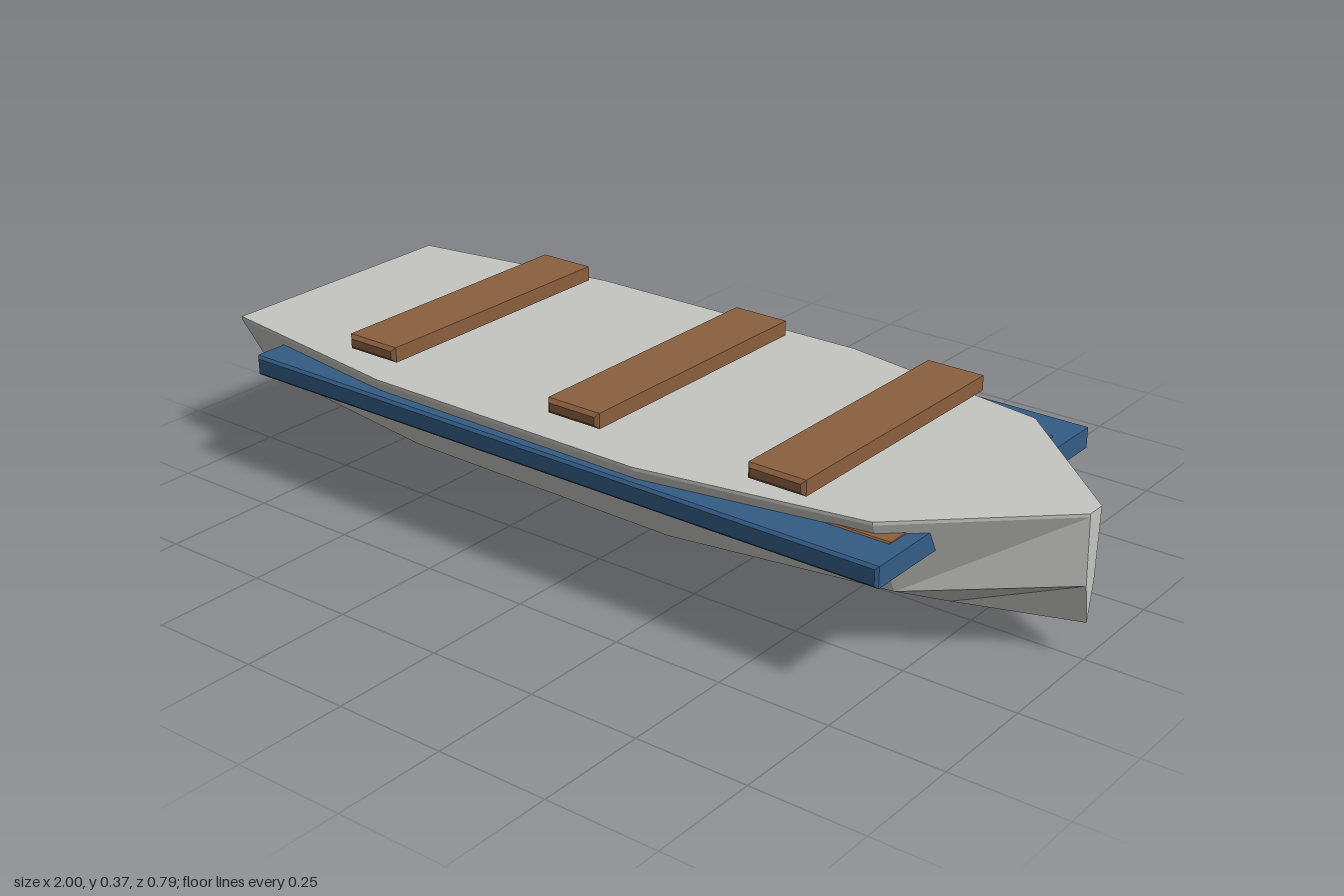
import * as THREE from 'three';

const paint = (name, color) => Object.assign(new THREE.MeshStandardMaterial({ color }), { name });

// Box with small chamfers, given by its limits on x and y and its half width on z
function chamferedBox(name, material, [x0, x1], [y0, y1], halfZ, b = 0.008) {
  const shape = new THREE.Shape([
    new THREE.Vector2(x0 + b, y0 + b), new THREE.Vector2(x1 - b, y0 + b),
    new THREE.Vector2(x1 - b, y1 - b), new THREE.Vector2(x0 + b, y1 - b),
  ]);
  const geometry = new THREE.ExtrudeGeometry(shape, {
    depth: 2 * (halfZ - b), bevelEnabled: true, bevelSegments: 1, bevelSize: b, bevelThickness: b,
  });
  geometry.translate(0, 0, b - halfZ);
  const mesh = new THREE.Mesh(geometry, material);
  mesh.name = name;
  return mesh;
}

// Hull lofted through V-shaped sections, closed by the deck, transom and stem
function hullGeometry() {
  // x, keel height, chine height, chine half width, gunwale half width
  const sections = [
    [-1, 0.05, 0.15, 0.215, 0.305],
    [-0.5, 0.004, 0.13, 0.267, 0.38],
    [0.2, 0, 0.125, 0.272, 0.387],
    [0.7, 0.026, 0.138, 0.212, 0.3],
    [1, 0.08, 0.165, 0.015, 0.022],
  ];
  const rings = sections.map(([x, keel, chineY, chineZ, topZ]) => [
    [x, 0.32, -topZ], [x, 0.313, -topZ], [x, chineY, -chineZ], [x, keel, 0],
    [x, chineY, chineZ], [x, 0.313, topZ], [x, 0.32, topZ],
  ]);
  const n = rings[0].length;
  const positions = [];
  const triangle = (a, b, c) => positions.push(...a, ...b, ...c);

  // Sides and deck
  for (let i = 0; i + 1 < rings.length; i++) {
    for (let j = 0; j < n; j++) {
      const k = (j + 1) % n;
      triangle(rings[i][j], rings[i + 1][j], rings[i + 1][k]);
      triangle(rings[i][j], rings[i + 1][k], rings[i][k]);
    }
  }
  // Transom and stem
  const stern = rings[0], bow = rings[rings.length - 1];
  for (let j = 1; j + 1 < n; j++) {
    triangle(stern[0], stern[j], stern[j + 1]);
    triangle(bow[0], bow[j + 1], bow[j]);
  }
  const geometry = new THREE.BufferGeometry();
  geometry.setAttribute('position', new THREE.Float32BufferAttribute(positions, 3));
  geometry.computeVertexNormals();
  return geometry;
}

export function createModel() {
  const boat = new THREE.Group();
  boat.name = 'boat';
  const grey = paint('hull grey', 0xc4c5c0);
  grey.flatShading = true;
  const wood = paint('wood brown', 0x8a5f3f);
  const blue = paint('trim blue', 0x335c85);

  const hull = new THREE.Mesh(hullGeometry(), grey);
  hull.name = 'hull';
  boat.add(hull);

  // Blue rubbing band around the hull, with the wooden floor just proud of it
  boat.add(chamferedBox('rubbingBand', blue, [-0.857, 0.775], [0.243, 0.289], 0.395, 0.006));
  boat.add(chamferedBox('floorBoard', wood, [-0.875, 0.742], [0.272, 0.292], 0.305, 0.004));

  // Bench seats
  for (const x of [-0.565, -0.003, 0.497]) {
    boat.add(chamferedBox('seat', wood, [x - 0.067, x + 0.067], [0.339, 0.373], 0.327));
  }
  return boat;
}
